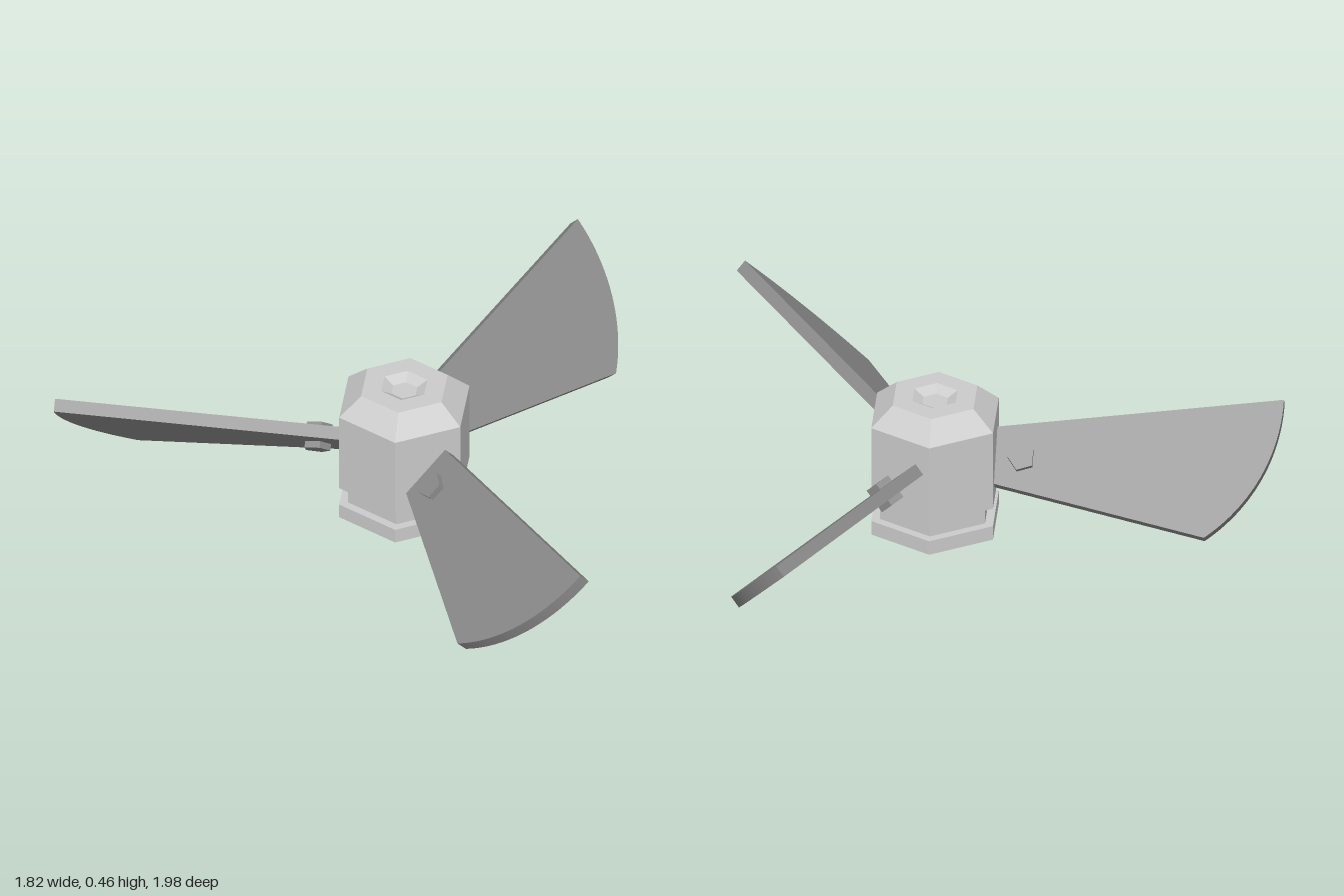
import * as THREE from 'three';

const hubMat = new THREE.MeshStandardMaterial({ color: 0xcccccc, flatShading: true });
const bladeMat = new THREE.MeshStandardMaterial({ color: 0x8c8c8c, flatShading: true });

function mesh(name, geometry, material) {
  const m = new THREE.Mesh(geometry, material);
  m.name = name;
  return m;
}

// Hexagonal hub: dished underside, foot flange, groove, body, bevel, dimpled top
function makeHub() {
  const profile = [
    [0, 0.035], [0.085, 0.035], [0.14, 0], [0.226, 0], [0.226, 0.05],
    [0.195, 0.05], [0.195, 0.115], [0.226, 0.115], [0.226, 0.395],
    [0.15, 0.46], [0.08, 0.46], [0.045, 0.44], [0, 0.44],
  ].map(([r, y]) => new THREE.Vector2(r, y));
  return mesh('hub', new THREE.LatheGeometry(profile, 6), hubMat);
}

// Blade outline: x runs outwards from the hub axis, y across the chord
function makeBladeGeometry() {
  const thickness = 0.042, radius = 0.591, half = 0.234;
  const shape = new THREE.Shape();
  shape.moveTo(0.1, 0.092);
  shape.lineTo(0.1, -0.064);
  shape.lineTo(0.88, -half);
  shape.absarc(1.11 - radius, half, radius, -Math.asin(2 * half / radius), 0, false);
  shape.closePath();
  const g = new THREE.ExtrudeGeometry(shape, { depth: thickness, bevelEnabled: false, curveSegments: 10 });
  return g.translate(0, 0, -thickness / 2);
}

export function createModel() {
  const model = new THREE.Group();
  model.name = 'propeller';
  const rotor = new THREE.Group();
  rotor.name = 'rotor';
  rotor.position.set(-0.2, 0, -0.057);
  model.add(rotor);
  rotor.add(makeHub());

  const bladeGeo = makeBladeGeometry();
  // Five-sided bolt passing through the blade, showing on both faces
  const boltGeo = new THREE.CylinderGeometry(0.045, 0.045, 0.085, 5, 1, false, -Math.PI / 2);
  boltGeo.rotateX(Math.PI / 2).translate(0.28, 0.002, 0);

  // Three pitched blades around the hub
  for (let i = 0; i < 3; i++) {
    const arm = new THREE.Group();
    arm.name = 'bladeArm';
    arm.rotation.y = i * Math.PI * 2 / 3;
    const pitched = new THREE.Group();
    pitched.name = 'pitchedBlade';
    pitched.position.y = 0.23;
    pitched.rotation.x = -Math.PI / 4;
    pitched.add(mesh('blade', bladeGeo, bladeMat), mesh('bladeBolt', boltGeo, bladeMat));
    arm.add(pitched);
    rotor.add(arm);
  }
  return model;
}
